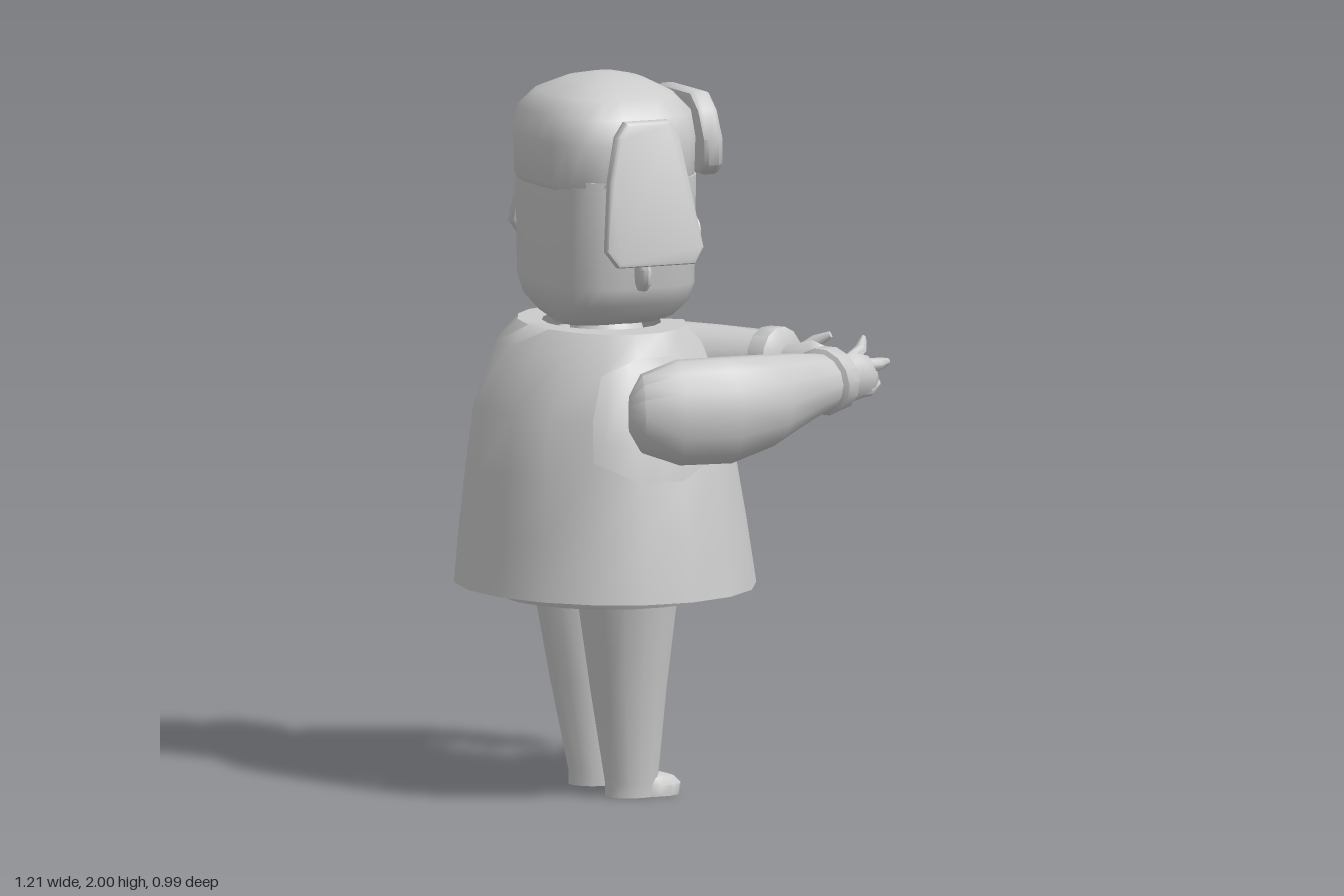
import * as THREE from 'three';
import { toCreasedNormals, mergeVertices } from 'three/addons/utils/BufferGeometryUtils.js';

const V = (x, y, z) => new THREE.Vector3(x, y, z);

// Skin between closed rings of points, capped at both ends
function loft(rings, crease = 0.75) {
  const n = rings[0].length, pos = [], index = [];
  for (const p of rings.flat()) pos.push(p.x, p.y, p.z);
  for (let r = 0; r < rings.length - 1; r++) {
    for (let i = 0; i < n; i++) {
      const a = r * n + i, b = r * n + (i + 1) % n;
      index.push(a, a + n, b, b, a + n, b + n);
    }
  }
  [0, rings.length - 1].forEach((r, end) => {
    const c = rings[r].reduce((s, p) => s.add(p), V(0, 0, 0)).divideScalar(n);
    const k = pos.length / 3;
    pos.push(c.x, c.y, c.z);
    for (let i = 0; i < n; i++) {
      const a = r * n + i, b = r * n + (i + 1) % n;
      if (end) index.push(a, k, b); else index.push(a, b, k);
    }
  });
  const g = new THREE.BufferGeometry();
  g.setAttribute('position', new THREE.Float32BufferAttribute(pos, 3));
  g.setIndex(index);
  return toCreasedNormals(g, crease);
}

// Upright form from rows [y, centreX, centreZ, radiusX, radiusZ]; power squares the plan
function upright(rows, sides = 16, power = 2) {
  const f = (v) => Math.sign(v) * Math.abs(v) ** (2 / power);
  return loft(rows.map(([y, cx, cz, rx, rz]) => Array.from({ length: sides }, (_, i) => {
    const a = (i + 0.5) / sides * Math.PI * 2;
    return V(cx + rx * f(Math.cos(a)), y, cz + rz * f(Math.sin(a)));
  })));
}

// Sideways limb along points [x, y, z, halfWidth, halfHeight]
function limb(path, sides = 12) {
  const pts = path.map((p) => V(p[0], p[1], p[2]));
  return loft(path.map((p, k) => {
    const t = pts[Math.min(k + 1, pts.length - 1)].clone().sub(pts[Math.max(k - 1, 0)]).normalize();
    const v = V(0, 1, 0).addScaledVector(t, -t.y).normalize();
    const u = t.clone().cross(v);
    return Array.from({ length: sides }, (_, i) => {
      const a = i / sides * Math.PI * 2;
      return pts[k].clone().addScaledVector(u, Math.cos(a) * p[3]).addScaledVector(v, Math.sin(a) * p[4]);
    });
  }), 0.9);
}

// Padded slab cut from an outline
function slab(points, depth, bevel) {
  const shape = new THREE.Shape(points.map(([x, y]) => new THREE.Vector2(x, y)));
  const g = new THREE.ExtrudeGeometry(shape, {
    depth, bevelThickness: bevel, bevelSize: bevel, bevelOffset: -bevel, bevelSegments: 2,
  });
  return g;
}

function moveVertices(g, rule) {
  const p = g.attributes.position, v = V(0, 0, 0);
  for (let i = 0; i < p.count; i++) {
    v.fromBufferAttribute(p, i);
    rule(v);
    p.setXYZ(i, v.x, v.y, v.z);
  }
  g.deleteAttribute('normal');
  g.deleteAttribute('uv');
  return toCreasedNormals(mergeVertices(g), 0.8);
}

// Open-fronted cape with an armhole on each side; rows are [y, centreX, radiusX, radiusZ]
function capeGeometry() {
  const rows = [
    [0.58, -0.19, 0.41, 0.465], [0.75, -0.195, 0.39, 0.445], [0.91, -0.2, 0.37, 0.41],
    [1.08, -0.205, 0.345, 0.375], [1.25, -0.205, 0.275, 0.345], [1.31, -0.2, 0.22, 0.3],
    [1.31, -0.2, 0.16, 0.19],
  ];
  const cols = 16, pos = [], index = [];
  const holeEdges = [2, 5, 11, 14];
  rows.forEach(([y, cx, rx, rz], r) => {
    const start = 0.37 - 0.12 * Math.min(1, (y - 0.58) / 0.73);
    for (let k = 0; k <= cols; k++) {
      const a = start + (2 * Math.PI - 2 * start) * k / cols;
      // hole corners are drawn in to make it eight-sided
      const shift = holeEdges.includes(k) ? (r === 2 ? 0.06 : r === 4 ? -0.05 : 0) : 0;
      pos.push(cx + rx * Math.cos(a), y + shift, rz * Math.sin(a));
    }
  });
  for (let r = 0; r < rows.length - 1; r++) {
    for (let k = 0; k < cols; k++) {
      const m = Math.min(k, cols - 1 - k);
      if ((r === 2 || r === 3) && m >= 2 && m <= 4) continue;
      const a = r * (cols + 1) + k, up = a + cols + 1;
      index.push(a, up, a + 1, a + 1, up, up + 1);
    }
  }
  const g = new THREE.BufferGeometry();
  g.setAttribute('position', new THREE.Float32BufferAttribute(pos, 3));
  g.setIndex(index);
  return toCreasedNormals(g, 0.8);
}

export function createModel() {
  const model = new THREE.Group();
  model.name = 'figure';
  const mat = new THREE.MeshStandardMaterial({ color: 0xcccccc });
  const thin = new THREE.MeshStandardMaterial({ color: 0xcccccc, side: THREE.DoubleSide });
  const add = (name, geometry, material = mat) => {
    const mesh = new THREE.Mesh(geometry, material);
    mesh.name = name;
    model.add(mesh);
    return mesh;
  };
  const pair = (name, geometry) => {
    add(name + 'A', geometry);
    add(name + 'B', geometry).scale.z = -1;
  };

  // Clothing and body
  add('cape', capeGeometry(), thin);
  add('body', upright([
    [0.545, -0.185, 0, 0.29, 0.3], [0.6, -0.185, 0, 0.31, 0.33], [0.8, -0.185, 0, 0.31, 0.33],
    [1.0, -0.185, 0, 0.27, 0.3], [1.2, -0.185, 0, 0.2, 0.24], [1.28, -0.185, 0, 0.1, 0.12],
    [1.34, -0.185, 0, 0.09, 0.08],
  ], 20));

  // Legs and feet
  pair('leg', upright([
    [0, -0.165, 0.125, 0.075, 0.065], [0.04, -0.165, 0.125, 0.075, 0.068],
    [0.3, -0.18, 0.14, 0.108, 0.1], [0.6, -0.19, 0.155, 0.147, 0.142],
  ], 14));
  pair('foot', upright([
    [0, -0.1, 0.125, 0.075, 0.062], [0.03, -0.1, 0.125, 0.08, 0.062], [0.05, -0.11, 0.125, 0.07, 0.05],
    [0.062, -0.12, 0.125, 0.04, 0.03],
  ], 14));

  // Head and hat
  add('head', upright([
    [1.31, -0.185, -0.005, 0.14, 0.1], [1.335, -0.185, -0.005, 0.165, 0.19],
    [1.38, -0.185, -0.005, 0.2, 0.24], [1.43, -0.185, -0.005, 0.213, 0.258],
    [1.73, -0.185, -0.005, 0.215, 0.267],
  ], 24, 3.2));
  add('hat', upright([
    [1.7, -0.19, -0.005, 0.215, 0.262], [1.715, -0.19, -0.005, 0.225, 0.27],
    [1.83, -0.19, -0.005, 0.23, 0.267], [1.9, -0.19, -0.005, 0.22, 0.25],
    [1.95, -0.19, -0.005, 0.175, 0.195], [1.985, -0.185, -0.005, 0.1, 0.115],
    [2.0, -0.185, -0.005, 0.035, 0.04],
  ], 24, 2.7));
  add('hatFrontFlap', moveVertices(slab([
    [-0.13, 1.715], [0.13, 1.71], [0.17, 1.74], [0.185, 1.82], [0.165, 1.9], [0.11, 1.94],
    [-0.11, 1.945], [-0.16, 1.9], [-0.185, 1.82], [-0.17, 1.745],
  ], 0.03, 0.018), (v) => v.set(0.038 + v.z + (1.945 - v.y) * 0.09, v.y, -0.015 - v.x)));
  pair('earFlap', moveVertices(slab([
    [-0.3, 1.505], [-0.07, 1.505], [-0.04, 1.55], [-0.09, 1.85], [-0.12, 1.9], [-0.25, 1.9],
    [-0.28, 1.86], [-0.31, 1.74], [-0.333, 1.55],
  ], 0.016, 0.012), (v) => { v.z += 0.26 + (1.9 - v.y) * 0.17; }));
  pair('ear', upright([
    [1.43, -0.2, 0.28, 0.012, 0.02], [1.45, -0.2, 0.285, 0.02, 0.036],
    [1.49, -0.2, 0.285, 0.02, 0.04], [1.52, -0.2, 0.28, 0.012, 0.025],
  ], 10));

  // Face
  add('nose', moveVertices(new THREE.BoxGeometry(0.06, 0.2, 0.04), (v) => {
    const low = v.y < 0;
    v.set(v.x < 0 ? 0.01 : low ? 0.085 : 0.055, (v.x > 0 && low ? 1.5 : 1.58 + v.y), v.z - 0.04);
  }));
  for (const [y, z] of [[1.56, 0.105], [1.53, -0.147]]) {
    const eye = add('eye', new THREE.CylinderGeometry(0.04, 0.04, 0.03, 20));
    eye.rotation.z = Math.PI / 2;
    eye.position.set(0.021, y, z);
  }
  add('mouth', new THREE.BoxGeometry(0.04, 0.025, 0.155)).position.set(0.022, 1.442, -0.012);

  // Sleeves, each ending in a rolled cuff
  add('leftSleeve', limb([
    [-0.27, 1.1, 0.35, 0.04, 0.05], [-0.24, 1.1, 0.365, 0.085, 0.11], [-0.14, 1.1, 0.385, 0.095, 0.148],
    [0, 1.1, 0.395, 0.1, 0.15], [0.13, 1.115, 0.365, 0.108, 0.13], [0.26, 1.13, 0.29, 0.095, 0.1],
    [0.35, 1.135, 0.24, 0.085, 0.082], [0.36, 1.135, 0.235, 0.1, 0.095], [0.4, 1.14, 0.215, 0.097, 0.092],
    [0.415, 1.14, 0.205, 0.07, 0.068],
  ], 14));
  add('rightSleeve', limb([
    [-0.27, 1.1, -0.35, 0.04, 0.05], [-0.24, 1.1, -0.37, 0.09, 0.11], [-0.12, 1.1, -0.395, 0.1, 0.148],
    [0.02, 1.1, -0.385, 0.11, 0.148], [0.16, 1.12, -0.315, 0.115, 0.125], [0.25, 1.14, -0.22, 0.1, 0.1],
    [0.335, 1.155, -0.1, 0.082, 0.082], [0.34, 1.155, -0.09, 0.095, 0.094], [0.365, 1.16, -0.045, 0.092, 0.09],
    [0.372, 1.16, -0.033, 0.065, 0.065],
  ], 14));

  // Hands: palm, then fingers and thumb
  const hands = {
    left: [
      [[0.38, 1.14, 0.22, 0.03, 0.045], [0.43, 1.14, 0.2, 0.034, 0.05], [0.48, 1.135, 0.185, 0.036, 0.068],
        [0.53, 1.135, 0.175, 0.028, 0.055], [0.55, 1.14, 0.17, 0.012, 0.03]],
      [[0.5, 1.16, 0.18, 0.02, 0.025], [0.56, 1.165, 0.175, 0.018, 0.018], [0.6, 1.165, 0.14, 0.008, 0.01]],
      [[0.48, 1.1, 0.185, 0.02, 0.025], [0.53, 1.1, 0.18, 0.018, 0.022], [0.565, 1.11, 0.155, 0.008, 0.012]],
      [[0.46, 1.17, 0.18, 0.022, 0.025], [0.51, 1.205, 0.16, 0.018, 0.018], [0.54, 1.23, 0.11, 0.008, 0.01]],
    ],
    right: [
      [[0.35, 1.155, -0.07, 0.035, 0.045], [0.385, 1.155, -0.02, 0.037, 0.05], [0.42, 1.15, 0.025, 0.036, 0.07],
        [0.45, 1.15, 0.055, 0.026, 0.055], [0.462, 1.15, 0.07, 0.012, 0.03]],
      [[0.43, 1.17, 0.03, 0.02, 0.022], [0.475, 1.17, 0.075, 0.018, 0.016], [0.51, 1.17, 0.118, 0.008, 0.008]],
      [[0.42, 1.12, 0.03, 0.02, 0.022], [0.46, 1.12, 0.065, 0.018, 0.018], [0.495, 1.135, 0.105, 0.008, 0.01]],
      [[0.4, 1.18, 0, 0.022, 0.025], [0.44, 1.215, 0.015, 0.018, 0.018], [0.47, 1.235, 0.045, 0.008, 0.01]],
    ],
  };
  for (const [side, parts] of Object.entries(hands)) {
    parts.forEach((path, i) => add(side + ['Palm', 'Finger', 'Finger', 'Thumb'][i], limb(path, 8)));
  }
  return model;
}
